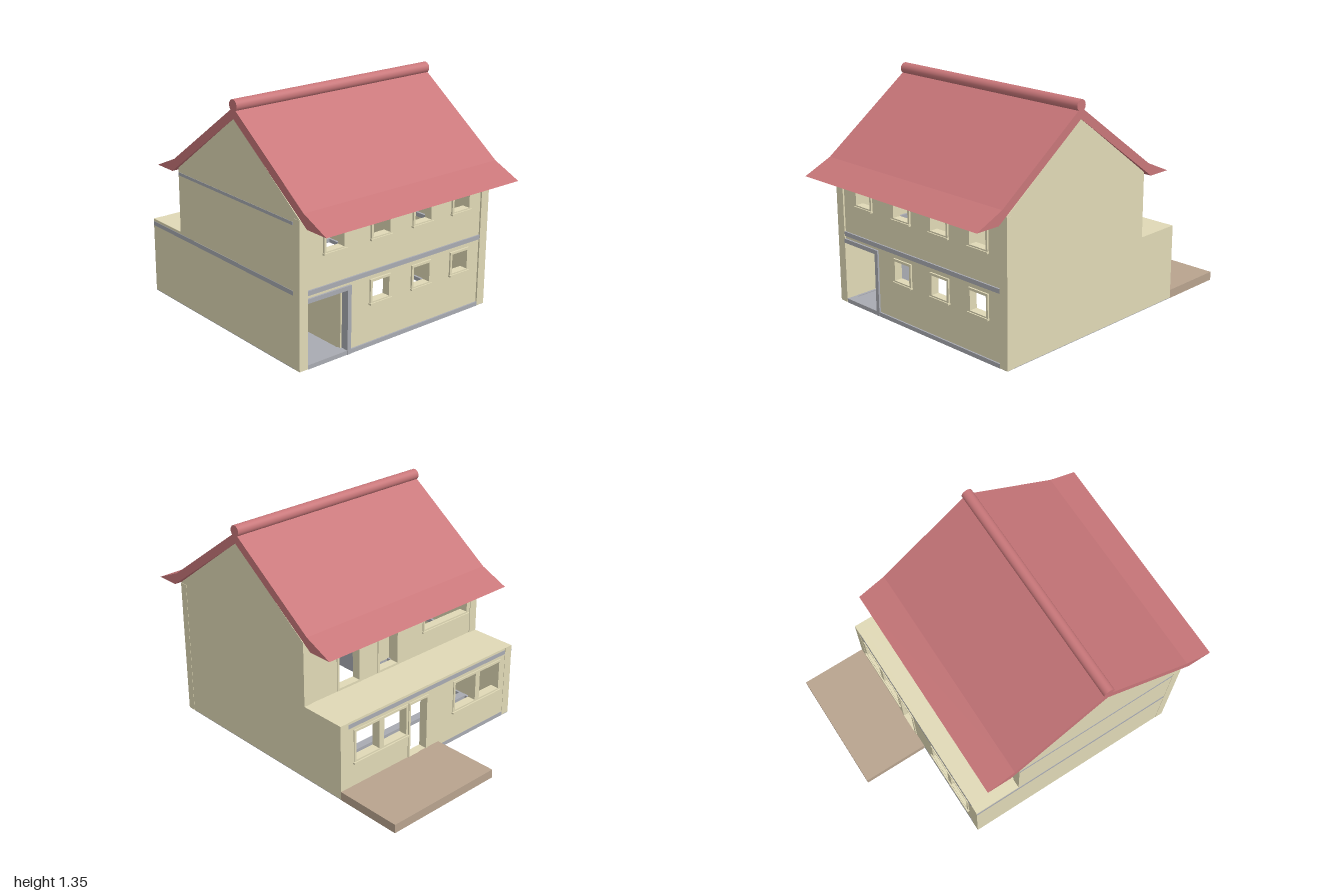
import * as THREE from 'three';

const mat = (name, color) => Object.assign(new THREE.MeshStandardMaterial({ color }), { name });

export function createModel() {
  const house = new THREE.Group();
  house.name = 'house';
  const plaster = mat('cream plaster', 0xe0d9b6);
  const tile = mat('red roof', 0xc87679);
  const concrete = mat('grey concrete', 0xa9abb2);
  const paving = mat('tan paving', 0xb8a38e);

  const add = (name, geometry, material) => {
    const mesh = new THREE.Mesh(geometry, material);
    mesh.name = name;
    house.add(mesh);
    return mesh;
  };
  // box given by its limits on each axis
  const box = (name, material, x0, x1, y0, y1, z0, z1) => {
    const g = new THREE.BoxGeometry(x1 - x0, y1 - y0, z1 - z0);
    g.translate((x0 + x1) / 2, (y0 + y1) / 2, (z0 + z1) / 2);
    return add(name, g, material);
  };
  const rectPoints = (x0, x1, y0, y1) =>
    [[x0, y0], [x1, y0], [x1, y1], [x0, y1]].map(p => new THREE.Vector2(...p));
  // wall in the x-y plane with rectangular holes
  const wall = (name, outline, holes, z0, z1) => {
    const s = new THREE.Shape(outline.map(p => new THREE.Vector2(...p)));
    holes.forEach(h => s.holes.push(new THREE.Path(rectPoints(...h).reverse())));
    const g = new THREE.ExtrudeGeometry(s, { depth: z1 - z0, bevelEnabled: false });
    g.translate(0, 0, z0);
    return add(name, g, plaster);
  };
  // outline given as [z, y], extruded along x
  const sideProfile = (name, material, points, x0, x1) => {
    const s = new THREE.Shape(points.map(([z, y]) => new THREE.Vector2(-z, y)));
    const g = new THREE.ExtrudeGeometry(s, { depth: x1 - x0, bevelEnabled: false });
    g.rotateY(Math.PI / 2).translate(x0, 0, 0);
    return add(name, g, material);
  };
  // thin surround around an opening, with an optional centre post
  const frame = (name, [x0, x1, y0, y1], z0, z1, post = false) => {
    const t = 0.014;
    const o = [x0 - t, x1 + t, y0 - t, y1 + t];
    const pts = rectPoints(...o).map(p => [p.x, p.y]);
    wall(name, pts, [[x0, x1, y0, y1]], z0, z1);
    if (post) {
      const c = (x0 + x1) / 2;
      box(name + 'Post', plaster, c - 0.018, c + 0.018, y0, y1, z0, z1);
    }
  };

  // side walls with gable and lower rear extension
  const gable = [[0.788, 0.004], [0.788, 0.845], [0.245, 1.25], [-0.30, 0.845],
    [-0.30, 0.458], [-0.588, 0.458], [-0.588, 0.004]];
  sideProfile('leftWall', plaster, gable, 0.635, 0.69);
  sideProfile('rightWall', plaster, gable, -0.69, -0.635);
  for (const s of [-1, 1]) {
    const a = s * 0.635, b = s * 0.6915;
    box('cornerColumn', plaster, Math.min(a, b), Math.max(a, b), 0.003, 0.84, 0.74, 0.79);
  }

  // front wall: garage notch, two rows of windows
  const columns = [-0.455, -0.13, 0.175, 0.475];
  const square = (cx, y) => [cx - 0.06, cx + 0.06, y, y + 0.115];
  const frontWindows = [...columns.map(x => square(x, 0.632)),
    ...columns.slice(1).map(x => square(x, 0.262))];
  wall('frontWall', [[-0.34, 0.004], [0.636, 0.004], [0.636, 0.84], [-0.636, 0.84],
    [-0.636, 0.4], [-0.34, 0.4]], frontWindows, 0.742, 0.78);
  frontWindows.forEach(w => {
    frame('frontWindowFrame', w, 0.74, 0.79);
    box('frontSill', plaster, w[0] - 0.018, w[1] + 0.018, w[2] - 0.018, w[2] - 0.008, 0.775, 0.797);
  });

  // rear upper wall
  const wide = [-0.6, -0.24, 0.61, 0.755];
  const upperDoors = [[-0.015, 0.125, 0.475, 0.755], [0.285, 0.435, 0.475, 0.755]];
  wall('rearUpperWall', [[-0.636, 0.445], [0.636, 0.445], [0.636, 0.84], [-0.636, 0.84]],
    [wide, ...upperDoors], -0.296, -0.25);
  [wide, ...upperDoors].forEach(w => frame('rearUpperFrame', w, -0.302, -0.248));
  box('rearUpperSill', plaster, -0.62, -0.22, 0.59, 0.6, -0.31, -0.29);

  // rear lower wall of the extension, two double windows and a door
  const lowWindows = [[-0.58, -0.2, 0.21, 0.385], [0.2, 0.58, 0.21, 0.385]];
  const door = [0.035, 0.165, 0.052, 0.385];
  wall('rearLowerWall', [[-0.636, 0.004], [0.636, 0.004], [0.636, 0.458], [-0.636, 0.458]],
    [...lowWindows, door], -0.586, -0.54);
  lowWindows.forEach(w => {
    frame('rearLowerFrame', w, -0.592, -0.538, true);
    box('rearLowerSill', plaster, w[0] - 0.02, w[1] + 0.02, 0.19, 0.2, -0.6, -0.58);
  });
  frame('rearDoorFrame', door, -0.592, -0.538);
  box('extensionRoof', plaster, -0.64, 0.64, 0.445, 0.458, -0.545, -0.245);

  // grey ring beams at ground, upper floor and eaves
  const ring = (name, y0, y1, back, xr) => {
    box(name + 'Front', concrete, -0.636, 0.636, y0, y1, 0.725, 0.789);
    box(name + 'Back', concrete, -0.636, 0.636, y0, y1, back + 0.003, back + 0.065);
    box(name + 'Left', concrete, 0.62, 0.689, y0, y1, back + 0.003, 0.787);
    box(name + 'Right', concrete, -xr, -0.62, y0, y1, back + 0.003, 0.735);
  };
  ring('groundBeam', 0, 0.025, -0.59, 0.689);
  ring('floorBeam', 0.418, 0.444, -0.59, 0.692);
  ring('eavesBeam', 0.802, 0.82, -0.3, 0.692);
  box('innerGroundBeam', concrete, -0.62, 0.62, 0, 0.025, -0.3, -0.25);
  box('innerFloorBeam', concrete, -0.62, 0.62, 0.418, 0.444, -0.3, -0.245);

  // garage: floor, partitions and door surround
  box('garageFloor', concrete, -0.635, -0.36, 0.001, 0.02, 0.39, 0.74);
  box('garageBackWall', plaster, -0.636, -0.375, 0.02, 0.4, 0.39, 0.41);
  box('garageSideWall', plaster, -0.375, -0.362, 0.02, 0.4, 0.392, 0.742);
  box('garageSideFacing', concrete, -0.362, -0.355, 0.002, 0.4, 0.39, 0.742);
  box('garageLintel', concrete, -0.636, -0.34, 0.375, 0.4, 0.74, 0.791);
  box('garagePost', concrete, -0.365, -0.34, 0, 0.4, 0.74, 0.791);

  // roof with flared eaves, and ridge roll
  sideProfile('roof', tile, [[1.0, 0.812], [0.825, 0.89], [0.245, 1.31], [-0.335, 0.89],
    [-0.51, 0.812], [-0.36, 0.812], [0.245, 1.248], [0.85, 0.812]], -0.693, 0.693);
  const ridge = new THREE.CylinderGeometry(0.033, 0.033, 1.388, 24);
  ridge.rotateZ(Math.PI / 2).translate(0, 1.32, 0.245);
  add('ridgeRoll', ridge, tile);

  // rear patio
  box('patio', paving, -0.07, 0.69, 0, 0.052, -1, -0.588);

  return house;
}
